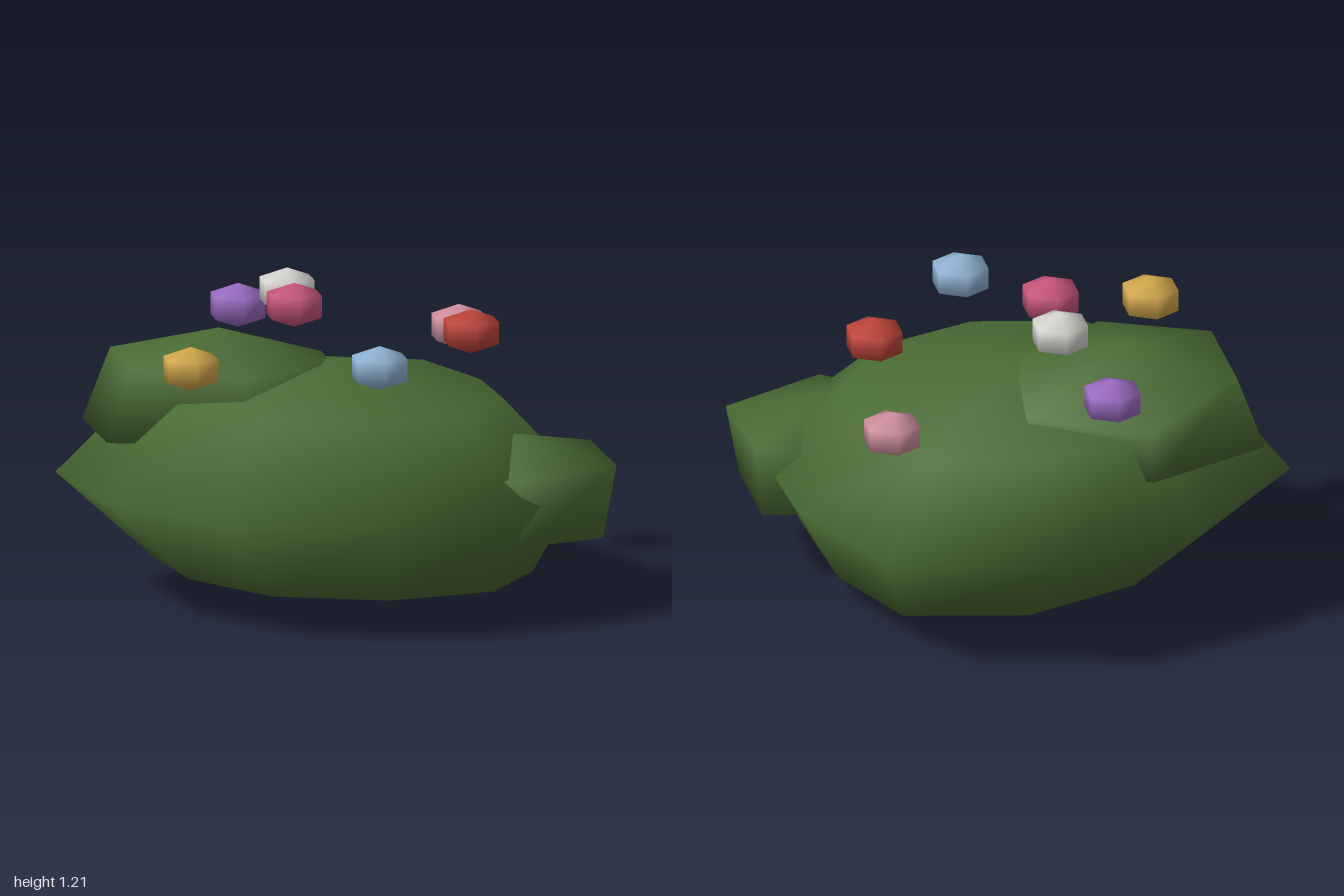
import * as THREE from 'three';

const paint = (name, color) => Object.assign(new THREE.MeshStandardMaterial({ color }), { name });

// Closed smooth blob: rings run from low to high, each going front -> +x -> back -> -x
function blob(name, material, bottom, rings, top) {
  const n = rings[0].length;
  const points = [...rings.flat(), bottom, top];
  const low = rings.length * n, high = low + 1;
  const index = [];
  const last = (rings.length - 1) * n;
  for (let i = 0; i < n; i++) {
    const j = (i + 1) % n;
    index.push(j, i, low, last + i, last + j, high);
    for (let r = 0; r < rings.length - 1; r++) {
      const a = r * n, b = a + n;
      index.push(a + i, a + j, b + j, a + i, b + j, b + i);
    }
  }
  const geometry = new THREE.BufferGeometry();
  geometry.setAttribute('position', new THREE.Float32BufferAttribute(points.flat(), 3));
  geometry.setIndex(index);
  geometry.computeVertexNormals();
  const mesh = new THREE.Mesh(geometry, material);
  mesh.name = name;
  return mesh;
}

export function createModel() {
  const group = new THREE.Group();
  group.name = 'floweringBush';
  const leaf = paint('leafGreen', 0x4a6b34);

  // Wide main mound: an uneven ten-sided outline, narrowed above and below
  const outline = [[0.03, 0.93], [0.62, 0.76], [0.92, 0.28], [0.89, -0.23], [0.67, -0.76],
    [0.03, -0.93], [-0.58, -0.73], [-1, -0.28], [-0.92, 0.3], [-0.57, 0.77]];
  const ring = (scale, y, tilt, dx, dz) =>
    outline.map(([x, z]) => [x * scale + dx, y + tilt * x, z * scale + dz]);
  group.add(blob('mainFoliage', leaf, [0.03, 0, 0.03], [
    ring(0.72, 0.12, -0.015, 0.07, 0.04),
    ring(1, 0.45, 0, 0, 0),
    ring(0.68, 0.77, -0.015, 0.01, -0.04),
  ], [0, 0.9, 0]));

  // Raised clump at the back right
  group.add(blob('backFoliage', leaf, [-0.38, 0.52, -0.2], [
    [[-0.38, 0.64, 0.28], [0.02, 0.64, 0.05], [0.02, 0.64, -0.42],
      [-0.38, 0.64, -0.67], [-0.87, 0.62, -0.42], [-0.87, 0.63, 0.06]],
    [[-0.38, 0.89, 0.24], [0, 0.89, 0.01], [0.05, 0.84, -0.42],
      [-0.38, 0.8, -0.6], [-0.77, 0.9, -0.38], [-0.77, 0.9, 0.04]],
  ], [-0.39, 1, -0.19]));

  // Small clump low on the left side
  group.add(blob('sideFoliage', leaf, [0.65, 0.22, 0.35], [
    [[0.6, 0.3, 0.7], [0.95, 0.28, 0.5], [0.95, 0.28, 0.12],
      [0.72, 0.28, 0.08], [0.35, 0.3, 0.15], [0.35, 0.3, 0.5]],
    [[0.59, 0.55, 0.72], [1, 0.56, 0.51], [0.98, 0.57, 0.1],
      [0.75, 0.55, 0.03], [0.32, 0.55, 0.12], [0.32, 0.55, 0.5]],
  ], [0.65, 0.66, 0.34]));

  // Six-sided blossoms floating over the foliage
  const hex = (y) => Array.from({ length: 6 }, (_, i) => {
    const a = i * Math.PI / 3;
    return [0.11 * Math.sin(a), y, 0.11 * Math.cos(a)];
  });
  const blossoms = [
    ['yellow', 0xd4a84b, -0.59, 0.95, 0.28],
    ['purple', 0x9b6bc4, -0.23, 0.985, -0.63],
    ['crimson', 0xc9557d, -0.14, 1.12, 0.01],
    ['white', 0xd8d6d2, -0.11, 1.115, -0.28],
    ['blue', 0x90b4d6, 0.08, 0.985, 0.56],
    ['red', 0xc0443a, 0.53, 1.0, 0.06],
    ['pink', 0xd090a0, 0.6, 0.89, -0.53],
  ];
  for (const [name, color, x, y, z] of blossoms) {
    const flower = blob(name + 'Blossom', paint(name, color),
      [0, -0.085, 0], [hex(-0.043), hex(0.043)], [0, 0.085, 0]);
    flower.position.set(x, y, z);
    group.add(flower);
  }
  return group;
}
